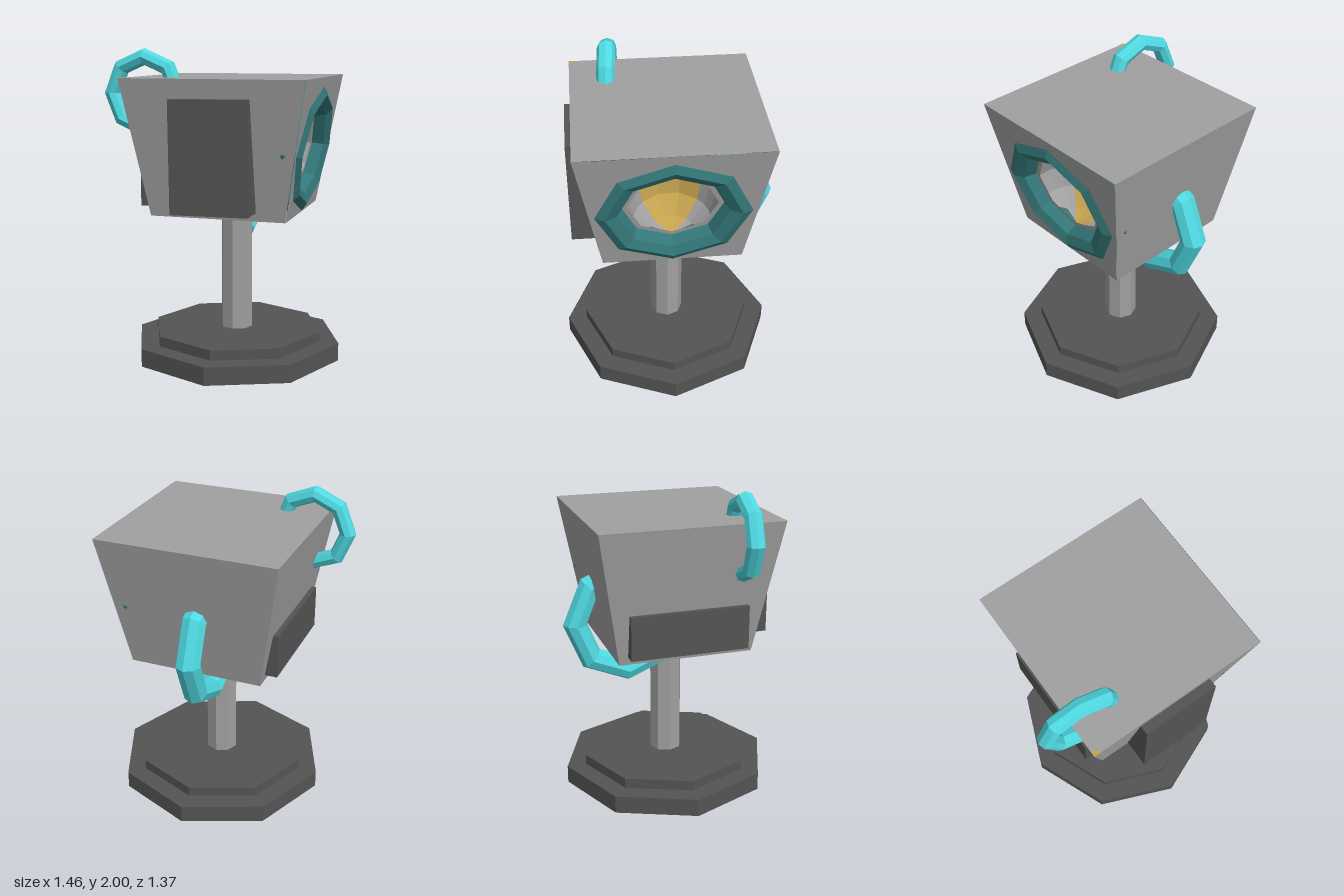
import * as THREE from 'three';

const mat = (name, color, side = THREE.FrontSide) => {
  const m = new THREE.MeshStandardMaterial({ color, flatShading: true, side });
  m.name = name;
  return m;
};

export function createModel() {
  const grey = mat('grey', 0xa0a0a0, THREE.DoubleSide);
  const dark = mat('darkGrey', 0x545454);
  const brightTeal = mat('brightTeal', 0x4fd8e0);
  const deepTeal = mat('deepTeal', 0x337778);
  const gold = mat('gold', 0xc4a24e, THREE.DoubleSide);

  const model = new THREE.Group();
  const add = (name, geometry, material, x = 0, y = 0, z = 0, parent = model) => {
    const mesh = new THREE.Mesh(geometry, material);
    mesh.name = name;
    mesh.position.set(x, y, z);
    parent.add(mesh);
    return mesh;
  };
  const CX = 0.04; // axis of the stand and head

  // Stand: two octagonal steps and a post
  const octagon = (name, r, y0, y1, m) =>
    add(name, new THREE.CylinderGeometry(r, r, y1 - y0, 8), m, CX, (y0 + y1) / 2, 0);
  octagon('baseLower', 0.685, 0, 0.115, dark);
  octagon('baseUpper', 0.56, 0.115, 0.18, dark);
  octagon('post', 0.104, 0.17, 1.0, grey);

  // Head: tapered box; its +x side is built separately with a hole
  const Y0 = 0.97, Y1 = 1.82, B = 0.428, T = 0.573;
  const corners = [];
  for (const [h, y] of [[B, Y0], [T, Y1]]) {
    corners.push([CX - h, y, h], [CX + h, y, h], [CX + h, y, -h], [CX - h, y, -h]);
  }
  const quads = [[0, 1, 5, 4], [2, 3, 7, 6], [3, 0, 4, 7], [4, 5, 6, 7], [3, 2, 1, 0]];
  const points = quads.flatMap(([a, b, c, d]) => [a, b, c, a, c, d].flatMap(i => corners[i]));
  const shell = new THREE.BufferGeometry();
  shell.setAttribute('position', new THREE.Float32BufferAttribute(points, 3));
  shell.computeVertexNormals();
  add('headShell', shell, grey);

  // Porthole assembly, tilted with the +x side (local z points outward)
  const tilt = Math.atan((T - B) / (Y1 - Y0));
  const port = new THREE.Group();
  port.name = 'porthole';
  port.position.set(0.465, 1.38, 0);
  port.rotation.order = 'ZYX';
  port.rotation.set(0, Math.PI / 2, -tilt);
  model.add(port);

  const squash = 0.86, depth = 0.075;
  const local = y => (y - 1.38 + depth * Math.sin(tilt)) / Math.cos(tilt);
  const ringPoints = r => Array.from({ length: 8 }, (_, i) => {
    const a = i * Math.PI / 4;
    return new THREE.Vector2(r * Math.cos(a), r * squash * Math.sin(a));
  });
  const side = new THREE.Shape([
    new THREE.Vector2(-B, local(Y0)), new THREE.Vector2(B, local(Y0)),
    new THREE.Vector2(T, local(Y1)), new THREE.Vector2(-T, local(Y1)),
  ]);
  side.holes.push(new THREE.Path(ringPoints(0.4)));
  add('headSide', new THREE.ShapeGeometry(side), grey, 0, 0, depth, port);

  const ring = add('portholeRing', new THREE.TorusGeometry(0.405, 0.1, 8, 8), deepTeal, 0, 0, 0, port);
  ring.scale.y = squash;

  const rim = new THREE.Shape(ringPoints(0.4));
  rim.holes.push(new THREE.Path(ringPoints(0.272)));
  add('bowlRim', new THREE.ShapeGeometry(rim), grey, 0, 0, 0, port);

  // Hollow bowl: gold at the back, grey at both flanks
  const bowlPart = (name, m, start, segments) =>
    add(name, new THREE.SphereGeometry(0.272, segments, 6, start * Math.PI / 4, segments * Math.PI / 4),
      m, 0, 0, 0, port);
  bowlPart('bowlBack', gold, 5, 2);
  bowlPart('bowlFlankA', grey, 4, 1);
  bowlPart('bowlFlankB', grey, 7, 1);

  // Panels on the front and left-hand faces
  const front = add('frontPanel', new THREE.BoxGeometry(0.485, 0.685, 0.23), dark, 0.043, 1.361, 0.497);
  front.rotation.z = 0.012;
  add('sidePanel', new THREE.BoxGeometry(0.095, 0.275, 0.75), dark, -0.4275, 1.158, 0);

  // Loop handles, partly sunk into the head and post
  const topLoop = add('topLoop', new THREE.TorusGeometry(0.224, 0.052, 8, 8), brightTeal, -0.455, 1.72, 0.333);
  topLoop.rotation.y = -0.08;
  topLoop.scale.z = 1.1;
  const backLoop = add('backLoop', new THREE.TorusGeometry(0.335, 0.078, 8, 8), brightTeal, 0.005, 1.123, -0.272);
  backLoop.rotation.y = Math.PI / 2;

  // Small gold chip at the top front corner
  const chip = new THREE.Shape([
    new THREE.Vector2(0, 0), new THREE.Vector2(0.045, 0),
    new THREE.Vector2(0.025, 0.03), new THREE.Vector2(0, 0.035),
  ]);
  const chipMesh = add('cornerChip', new THREE.ShapeGeometry(chip), gold, CX - T, Y1 + 0.002, T);
  chipMesh.rotation.x = -Math.PI / 2;

  return model;
}
